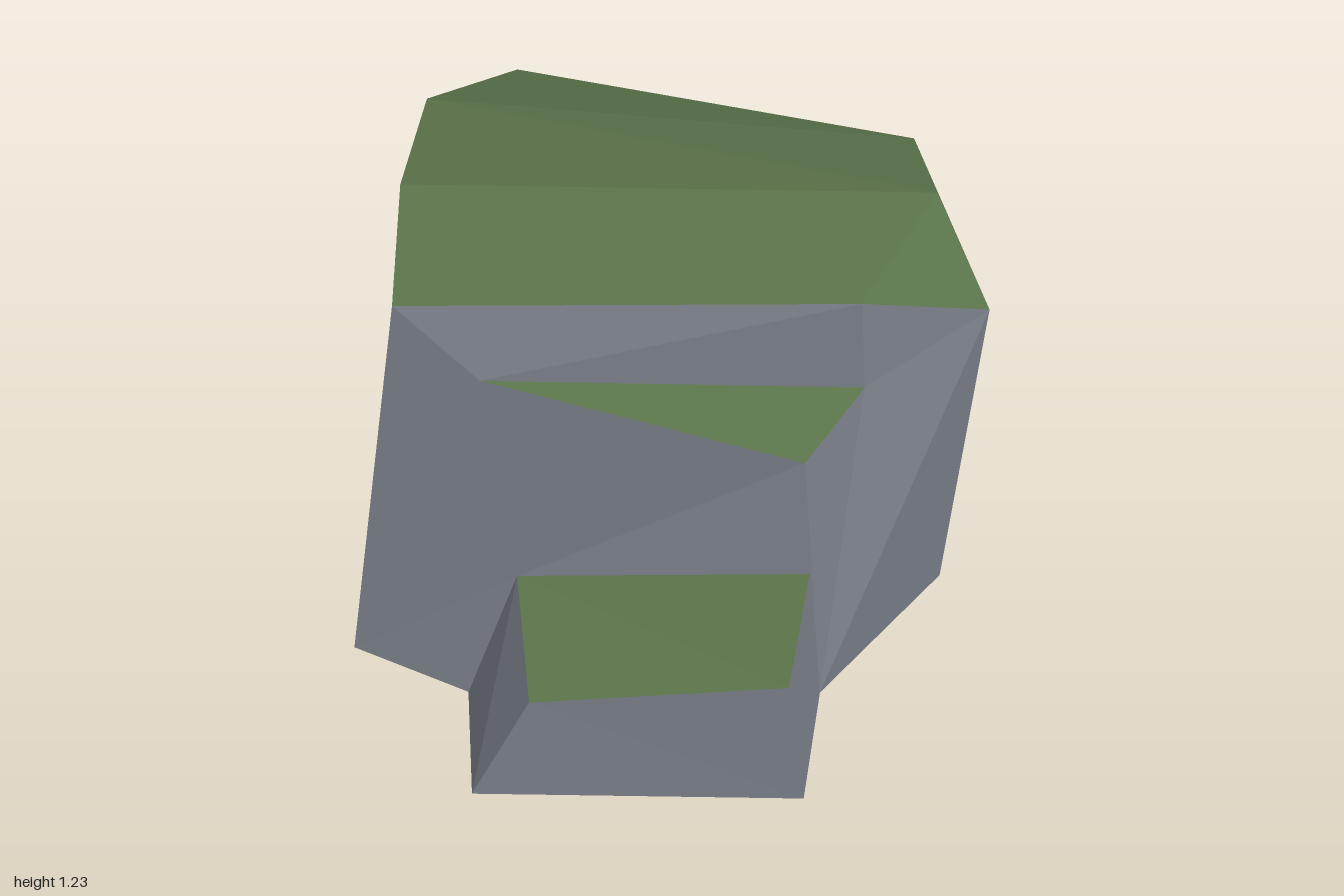
import * as THREE from 'three';

// Corner points, grouped by ring
const P = {
  // footprint on the ground, starting at the back
  B1: [-0.47, 0, -1], B2: [-0.77, 0, -0.29], B3: [-0.78, 0, 0.5],
  B4: [-0.47, 0, 0.65], B5: [-0.43, 0, 0.985], B6: [0.37, 0, 0.98],
  B7: [0.42, 0, 0.63], B8: [0.755, 0, 0.19], B9: [0.37, 0, -0.69],
  // crown
  T1: [-0.43, 0.9, -0.91], T2: [0.37, 0.785, -0.69], T3: [0.55, 0.87, -0.39],
  T4: [0.64, 1.095, -0.26], T5: [-0.61, 1.145, -0.34], T6: [-0.61, 1.23, 0.19],
  T7: [0.66, 1.205, 0.155], T8: [0.78, 1.025, 0.375], T9: [0.47, 1.135, 0.51],
  T10: [-0.59, 1.15, 0.565],
  // small ledge in the front
  L1: [-0.4, 0.955, 0.585], L2: [0.49, 0.885, 0.5], L3: [0.35, 0.795, 0.67],
  // low step in the front
  S1: [-0.33, 0.41, 0.655], S2: [0.375, 0.447, 0.67],
  S3: [0.32, 0.4, 1], S4: [-0.28, 0.325, 0.99],
};

// Flat-faced mesh from polygons, each a fan of named corners
function facets(name, material, polygons) {
  const positions = [];
  for (const polygon of polygons) {
    const c = polygon.split(' ').map((key) => P[key]);
    for (let i = 1; i < c.length - 1; i++) positions.push(...c[0], ...c[i], ...c[i + 1]);
  }
  const geometry = new THREE.BufferGeometry();
  geometry.setAttribute('position', new THREE.Float32BufferAttribute(positions, 3));
  geometry.computeVertexNormals();
  const mesh = new THREE.Mesh(geometry, material);
  mesh.name = name;
  return mesh;
}

export function createModel() {
  const stone = new THREE.MeshStandardMaterial({ color: 0x7d828c });
  stone.name = 'grey stone';
  const moss = new THREE.MeshStandardMaterial({ color: 0x5a7249 });
  moss.name = 'green moss';

  const model = new THREE.Group();
  model.name = 'mossyRock';
  model.add(
    facets('rockFront', stone, [
      'T10 L1 T9', 'L1 L2 T9', 'L2 T8 T9', 'L2 B7 T8', 'L3 S2 B7 L2',
      'B3 L1 T10', 'B3 L3 L1', 'B3 S1 L3', 'B3 B4 S1', 'S1 S2 L3',
    ]),
    facets('rockLeftSide', stone, ['T8 B7 B8', 'T4 T8 B8 B9', 'T3 T4 B9', 'T2 T3 B9']),
    facets('rockBack', stone, ['T1 T2 B9 B1']),
    facets('rockRightSide', stone, ['T1 B1 B2', 'T1 B2 T5', 'B2 B3 T10 T6 T5']),
    facets('rockUnderside', stone, ['B9 B8 B7 B4 B3 B2 B1', 'B7 B6 B5 B4']),
    facets('stepSides', stone, ['S1 B4 B5 S4', 'S4 B5 B6 S3', 'S3 B6 B7 S2']),
    facets('crownMoss', moss, [
      'T5 T6 T7 T4', 'T6 T10 T9 T7', 'T7 T9 T8', 'T7 T8 T4',
      'T1 T5 T4', 'T1 T4 T3', 'T1 T3 T2',
    ]),
    facets('ledgeMoss', moss, ['L1 L3 L2']),
    facets('stepMoss', moss, ['S1 S4 S3 S2']),
  );
  return model;
}
